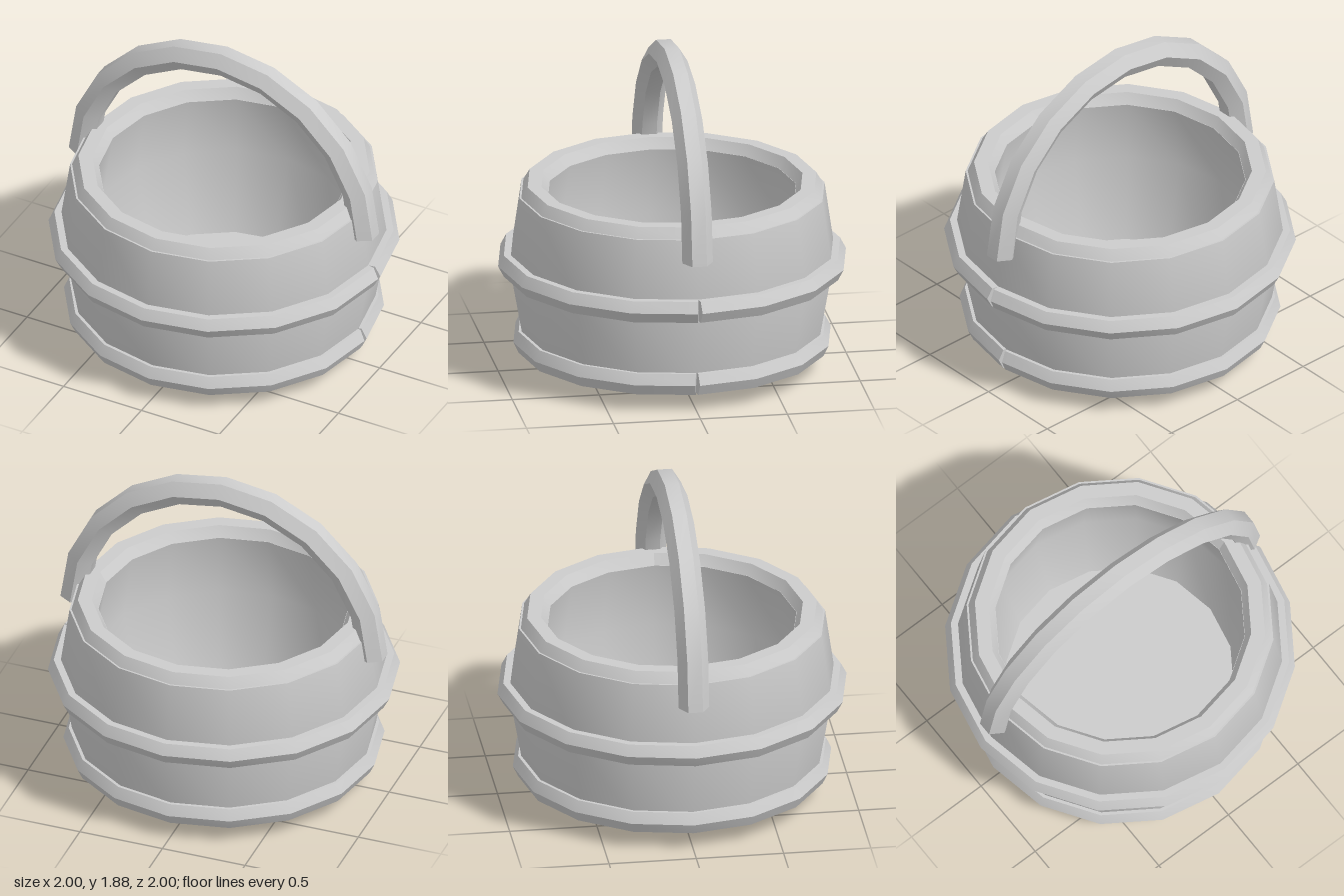
import * as THREE from 'three';

const SIDES = 16;

// Joins equal cross-sections in order and caps both ends.
// Each strip is smooth along its length, with sharp edges between strips.
function loft(sections) {
  const n = sections[0].length;
  const pos = [], idx = [];
  for (let i = 0; i < n; i++) {
    const first = pos.length / 3;
    sections.forEach((s) => pos.push(...s[i], ...s[(i + 1) % n]));
    for (let k = 0; k < sections.length - 1; k++) {
      const a = first + k * 2;
      idx.push(a, a + 1, a + 3, a, a + 3, a + 2);
    }
  }
  const start = pos.length / 3, end = start + n;
  sections[0].forEach((p) => pos.push(...p));
  sections[sections.length - 1].forEach((p) => pos.push(...p));
  for (let i = 1; i < n - 1; i++) {
    idx.push(start, start + i + 1, start + i, end, end + i, end + i + 1);
  }
  const geo = new THREE.BufferGeometry();
  geo.setAttribute('position', new THREE.Float32BufferAttribute(pos, 3));
  geo.setIndex(idx);
  geo.computeVertexNormals();
  return geo;
}

// Six-sided hoop round the bucket. Its two ends are cut square to their
// segments, which leaves a V-shaped split on the outside at +x.
function hoop(y, half, outer, outerEdge, innerEdge, inner) {
  const profile = [
    [outer, y], [outerEdge, y + half], [innerEdge, y + half],
    [inner, y], [innerEdge, y - half], [outerEdge, y - half],
  ];
  const middle = (outer + inner) / 2;
  const slant = Math.tan(Math.PI / SIDES);
  const sections = [];
  for (let k = 0; k <= SIDES; k++) {
    const a = (k / SIDES) * Math.PI * 2;
    const cut = k === 0 ? 1 : k === SIDES ? -1 : 0;
    sections.push(profile.map(([r, h]) => {
      const z = (r - middle) * slant;
      return cut
        ? [r - z * slant, h, cut * z]
        : [r * Math.cos(a), h, r * Math.sin(a)];
    }));
  }
  return loft(sections);
}

// Half-circle handle with a six-sided cross-section.
function handleArch() {
  const profile = [
    [0.975, -0.042], [0.975, 0.042], [0.9, 0.088],
    [0.825, 0.042], [0.825, -0.042], [0.9, -0.088],
  ];
  const sections = [];
  for (let k = 0; k <= 10; k++) {
    const a = (k / 10) * Math.PI;
    sections.push(profile.map(([r, w]) => [r * Math.cos(a), 0.905 + r * Math.sin(a), -w]));
  }
  return loft(sections);
}

function lathe(points) {
  return new THREE.LatheGeometry(points.map(([r, y]) => new THREE.Vector2(r, y)), SIDES);
}

export function createModel() {
  const group = new THREE.Group();
  const grey = new THREE.MeshStandardMaterial({ color: 0xcccccc });
  grey.name = 'plain grey';

  const add = (name, geometry) => {
    const mesh = new THREE.Mesh(geometry, grey);
    mesh.name = name;
    group.add(mesh);
  };

  // Barrel-shaped shell
  add('base', lathe([[0, 0], [0.53, 0], [0.85, 0.152]]));
  add('outerWall', lathe([[0.85, 0.152], [0.935, 0.63], [0.877, 1.03]]));
  add('wallTop', lathe([[0.877, 1.03], [0.712, 1.03]]));
  add('innerWall', lathe([[0.712, 1.03], [0.775, 0.63], [0.65, 0.15]]));
  add('floor', lathe([[0.65, 0.15], [0, 0.15]]));

  // Rim and hoops
  add('rim', hoop(1.03, 0.062, 0.866, 0.83, 0.75, 0.714));
  add('middleHoop', hoop(0.628, 0.063, 1.0, 0.967, 0.893, 0.86));
  add('lowerHoop', hoop(0.166, 0.063, 0.912, 0.882, 0.81, 0.78));

  // Carrying handle
  add('handle', handleArch());

  return group;
}
